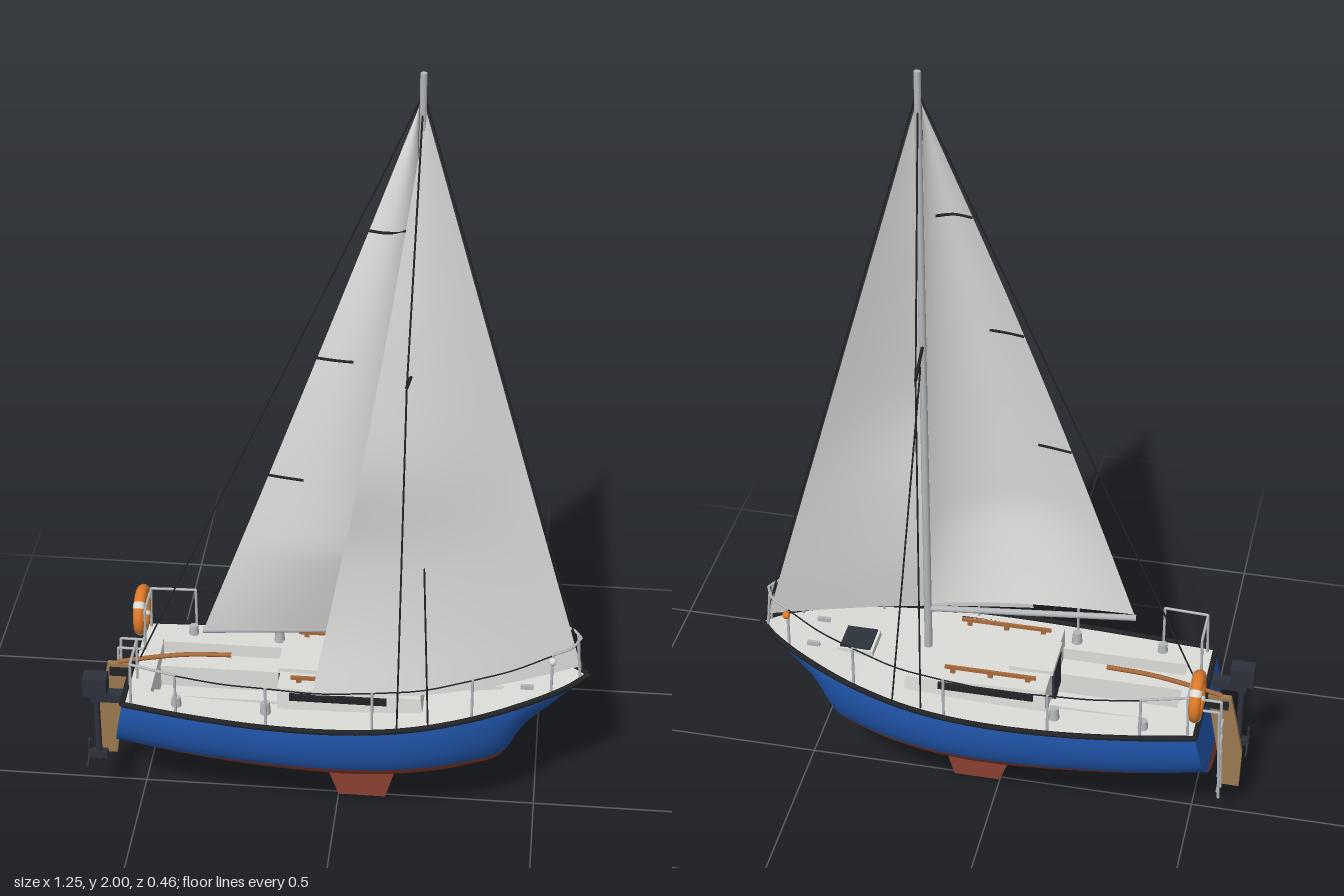
import * as THREE from 'three';

const mat = (name, color, side = THREE.FrontSide) => {
  const m = new THREE.MeshStandardMaterial({ color, side });
  m.name = name;
  return m;
};

// Hull lines: x -> half beam, sheer height, keel height, section fullness
const LINES = [
  [-0.52, 0.178, 0.372, 0.19, 2.5], [-0.35, 0.2, 0.362, 0.163, 2.5], [-0.15, 0.217, 0.356, 0.148, 2.5],
  [0.05, 0.219, 0.358, 0.14, 2.5], [0.2, 0.203, 0.366, 0.143, 2.4], [0.34, 0.167, 0.38, 0.155, 2.1],
  [0.42, 0.136, 0.39, 0.18, 1.8], [0.46, 0.117, 0.395, 0.255, 1.6], [0.53, 0.078, 0.403, 0.325, 1.4],
  [0.59, 0.034, 0.411, 0.385, 1.3], [0.62, 0.002, 0.415, 0.411, 1.2],
];
const spline = (xs, rows) => new THREE.CubicInterpolant(xs, rows.flat(), rows[0].length);
const hullSpline = spline(LINES.map((r) => r[0]), LINES.map((r) => r.slice(1)));
const lines = (x) => {
  const [w, sheer, keel, p] = hullSpline.evaluate(x);
  return { w: Math.max(w, 0.001), sheer, keel, p };
};
const WATERLINE = 0.222, ROWS = 8;
const lerp = THREE.MathUtils.lerp;

// Point of the hull skin; j runs from -2*ROWS (right sheer) through the keel to 2*ROWS (left sheer)
function skin(x, j) {
  const { w, sheer, keel, p } = lines(x);
  const k = Math.abs(j), wl = Math.min(Math.max(WATERLINE, keel), sheer);
  const y = k <= ROWS ? lerp(keel, wl, (k / ROWS) ** 2) : lerp(wl, sheer, k / ROWS - 1);
  const t = (y - keel) / (sheer - keel);
  const z = w * Math.pow(Math.max(0, 1 - Math.pow(1 - t, p)), 1 / p);
  const rake = 0.035 * (1 - t) * Math.max(0, (-0.3 - x) / 0.22);
  return [x - rake, y, Math.sign(j) * z];
}

// Grid surface from f(u, v); pick(i, j) chooses a material index per cell
function surface(f, nu, nv, pick = () => 0) {
  const pos = [], sets = [[], []];
  for (let j = 0; j <= nv; j++) for (let i = 0; i <= nu; i++) pos.push(...f(i / nu, j / nv));
  for (let j = 0; j < nv; j++) for (let i = 0; i < nu; i++) {
    const a = j * (nu + 1) + i, b = a + 1, d = a + nu + 1, c = d + 1;
    sets[pick(i, j)].push(a, b, c, a, c, d);
  }
  const g = new THREE.BufferGeometry();
  g.setAttribute('position', new THREE.Float32BufferAttribute(pos, 3));
  g.setIndex([...sets[0], ...sets[1]]);
  g.addGroup(0, sets[0].length, 0);
  g.addGroup(sets[0].length, sets[1].length, 1);
  g.computeVertexNormals();
  return g;
}

export function createModel() {
  const boat = new THREE.Group();
  boat.name = 'sailboat';
  const D = THREE.DoubleSide;
  const blue = mat('hull blue', 0x2258b0), red = mat('bottom red', 0x8a4032), white = mat('deck white', 0xdcdcd8, D);
  const cloth = mat('sailcloth', 0xdadad8, D), metal = mat('metal', 0xb4b8ba), black = mat('black trim', 0x222326);
  const teak = mat('teak', 0xa8693a), ply = mat('rudder wood', 0x9c7a50), orange = mat('orange', 0xe07a28);
  const charcoal = mat('charcoal', 0x2d313a);

  const add = (name, geo, m, x = 0, y = 0, z = 0, parent = boat) => {
    const mesh = new THREE.Mesh(geo, m);
    mesh.name = name;
    mesh.position.set(x, y, z);
    parent.add(mesh);
    return mesh;
  };
  const box = (name, m, x0, x1, y0, y1, z0, z1) =>
    add(name, new THREE.BoxGeometry(x1 - x0, y1 - y0, z1 - z0), m, (x0 + x1) / 2, (y0 + y1) / 2, (z0 + z1) / 2);
  const vec = (p) => new THREE.Vector3(...p);
  const rod = (name, m, a, b, r, r2 = r) => {
    const A = vec(a), dir = vec(b).sub(A);
    const mesh = add(name, new THREE.CylinderGeometry(r2, r, dir.length(), 10), m);
    mesh.position.copy(A).addScaledVector(dir, 0.5);
    mesh.quaternion.setFromUnitVectors(new THREE.Vector3(0, 1, 0), dir.normalize());
    return mesh;
  };
  const tube = (name, m, pts, r, seg = 48) =>
    add(name, new THREE.TubeGeometry(new THREE.CatmullRomCurve3(pts.map(vec)), seg, r, 8), m);
  const plate = (name, m, pts, t) =>
    add(name, new THREE.ExtrudeGeometry(new THREE.Shape(pts.map((p) => new THREE.Vector2(...p))),
      { depth: t, bevelEnabled: false }), m, 0, 0, -t / 2);

  // Hull, transom and fin keel
  const N = 2 * ROWS;
  add('hull', surface((u, v) => skin(lerp(-0.52, 0.62, u), Math.round(v * 2 * N) - N), 60, 2 * N,
    (i, j) => (j >= N - ROWS && j < N + ROWS ? 1 : 0)), [blue, red]);
  add('transom', surface((u, v) => {
    const [x, y, z] = skin(-0.52, v * N);
    return [x, y, lerp(-z, z, u)];
  }, 8, N, (i, j) => (j < ROWS ? 1 : 0)), [blue, red]);
  plate('keel', red, [[-0.055, 0.155], [0, 0], [0.12, 0], [0.165, 0.155]], 0.02);

  // Deck in strips around the cockpit opening
  const deck = (x0, x1, z0, z1) => add('deck', surface((u, v) => {
    const x = lerp(x0, x1, v), { w, sheer } = lines(x), c = THREE.MathUtils.clamp;
    return [x, sheer, lerp(c(z0, -w, w), c(z1, -w, w), u)];
  }, 2, 30), white);
  deck(-0.52, -0.46, -1, 1);
  deck(-0.14, 0.62, -1, 1);
  deck(-0.46, -0.14, -1, -0.11);
  deck(-0.46, -0.14, 0.11, 1);

  // Cockpit
  box('cockpitSole', white, -0.46, -0.14, 0.25, 0.27, -0.05, 0.05);
  box('cockpitAftWall', white, -0.466, -0.46, 0.25, 0.365, -0.11, 0.11);
  for (const s of [-1, 1]) {
    const z = (a, b) => (s > 0 ? [a, b] : [-b, -a]);
    box('bench', white, -0.46, -0.14, 0.25, 0.33, ...z(0.05, 0.11));
    box('cockpitSide', white, -0.46, -0.14, 0.3, 0.364, ...z(0.11, 0.116));
  }

  // Cabin with sloping sides and front
  const cabin = new THREE.BoxGeometry(0.375, 0.15, 0.28), cp = cabin.attributes.position;
  for (let i = 0; i < cp.count; i++) if (cp.getY(i) > 0) {
    cp.setZ(i, cp.getZ(i) * 0.92);
    if (cp.getX(i) > 0) cp.setXYZ(i, 0.165, 0.065, cp.getZ(i));
  }
  cabin.computeVertexNormals();
  add('cabin', cabin, white, 0.0475, 0.34, 0);
  box('slidingHatch', white, -0.146, -0.035, 0.41, 0.424, -0.06, 0.06);
  box('companionway', charcoal, -0.147, -0.139, 0.31, 0.408, -0.042, 0.042);
  box('foreHatchFrame', white, 0.32, 0.412, 0.37, 0.397, -0.045, 0.045);
  box('foreHatch', charcoal, 0.327, 0.405, 0.394, 0.402, -0.04, 0.04);

  // Toe rail, windows, handrails, winches, cleats and lifelines on both sides
  for (const s of [-1, 1]) {
    const edge = (x, inset = 0, up = 0) => {
      const { w, sheer } = lines(x);
      return [x, sheer + up, s * Math.max(0, w - inset)];
    };
    tube('toeRail', black, Array.from({ length: 30 }, (_, i) => edge(lerp(-0.52, 0.62, i / 29), 0, 0.002)), 0.007, 80);
    box('cabinWindow', black, -0.11, 0.13, 0.385, 0.403, s * 0.134 - 0.004, s * 0.134 + 0.004);
    box('handrail', teak, -0.11, 0.12, 0.422, 0.43, s * 0.097 - 0.004, s * 0.097 + 0.004);
    for (const x of [-0.09, 0.005, 0.1]) box('handrailFoot', teak, x - 0.006, x + 0.006, 0.41, 0.424, s * 0.097 - 0.004, s * 0.097 + 0.004);
    for (const x of [-0.388, -0.167]) rod('winch', metal, [x, 0.355, s * 0.153], [x, 0.388, s * 0.153], 0.014, 0.011);
    box('cleat', metal, 0.455, 0.487, 0.398, 0.41, s * 0.05 - 0.004, s * 0.05 + 0.004);

    const posts = [-0.385, -0.16, 0.1, 0.34, 0.53];
    for (const x of posts) rod('stanchion', metal, edge(x, 0.012), edge(x, 0.012, 0.113), 0.0035);
    for (let i = 0; i < 4; i++) {
      const mid = (posts[i] + posts[i + 1]) / 2;
      tube('lifeline', black, [edge(posts[i], 0.012, 0.111), edge(mid, 0.012, 0.108), edge(posts[i + 1], 0.012, 0.111)], 0.0018, 8);
    }
    // Stern rail and bow rail
    const corner = [-0.497, 0.487, s * 0.165], inner = [-0.497, 0.487, s * 0.062];
    rod('sternRail', metal, edge(-0.385, 0.012, 0.113), corner, 0.0035);
    rod('sternRail', metal, corner, inner, 0.0035);
    rod('sternRailPost', metal, corner, [-0.5, 0.37, s * 0.165], 0.0035);
    rod('sternRailPost', metal, inner, [-0.5, 0.37, s * 0.062], 0.0035);
    tube('bowRail', metal, [edge(0.53, 0.012, 0.113), [0.575, 0.522, s * 0.04], [0.598, 0.525, 0]], 0.0035, 12);
    rod('bowRailPost', metal, [0.59, 0.523, s * 0.015], [0.6, 0.412, s * 0.015], 0.0035);
    add('bowLight', new THREE.SphereGeometry(0.01, 12, 8), s < 0 ? orange : white, 0.53, 0.505, s * 0.078);

    // Spreader and shrouds
    const tip = [0.168, 1.29, s * 0.14];
    rod('spreader', black, [0.185, 1.295, 0], tip, 0.004);
    rod('upperShroud', black, [0.185, 1.93, 0], tip, 0.0022);
    rod('upperShroud', black, tip, [0.16, 0.365, s * 0.195], 0.0022);
    rod('lowerShroud', black, [0.188, 1.27, 0], [0.235, 0.37, s * 0.183], 0.0022);
  }
  rod('sternRub', black, [-0.52, 0.374, -0.178], [-0.52, 0.374, 0.178], 0.007);

  // Mast, boom and stays
  rod('mast', metal, [0.185, 0.36, 0], [0.185, 2, 0], 0.01, 0.008);
  rod('boom', metal, [0.18, 0.525, 0], [-0.33, 0.53, 0.062], 0.008);
  rod('backstay', black, [0.18, 1.94, 0], [-0.51, 0.37, 0], 0.002);
  rod('forestay', black, [0.19, 1.94, 0], [0.612, 0.418, 0], 0.002);

  // Mainsail with battens
  const main = (u, v) => {
    const belly = 0.075 * Math.sin(Math.PI * Math.pow(u, 0.8)) * Math.pow(1 - v, 0.7) * Math.min(1, 0.25 + v * 4);
    const twist = 0.035 * u * Math.sin(Math.PI * v);
    return [lerp(lerp(0.175, -0.325, u), 0.176, v), lerp(0.54, 1.92, v), lerp(0.062 * u, 0, v) + belly + twist];
  };
  add('mainsail', surface(main, 20, 36), cloth);
  for (const v of [0.33, 0.56, 0.79]) {
    const du = 0.085 / (0.5 * (1 - v));
    tube('batten', black, [main(1, v), main(1 - du / 2, v), main(1 - du, v)], 0.0035, 8);
  }

  // Headsail: the free edge sags between clew and head
  const leech = spline([0, 0.1, 0.25, 0.42, 0.6, 0.8, 1], [[0.172], [0.143], [0.13], [0.15], [0.11], [0.052], [0]]);
  add('headsail', surface((u, v) => {
    const edge = leech.evaluate(v)[0];
    const x = lerp(lerp(0.6, -0.05, u), 0.192, v) + 0.012 * u * Math.sin(Math.PI * v);
    const y = lerp(lerp(0.44, 0.432, u) - 0.012 * Math.sin(Math.PI * u), 1.91, v);
    return [x, y, edge * u + 0.035 * Math.sin(Math.PI * u) * (1 - v)];
  }, 24, 40), cloth);

  // Rudder and tiller
  plate('rudder', ply, [[-0.527, 0.37], [-0.585, 0.37], [-0.6, 0.3], [-0.62, 0.2], [-0.617, 0.09], [-0.572, 0.09], [-0.557, 0.2]], 0.014);
  box('rudderHead', black, -0.58, -0.525, 0.335, 0.36, -0.011, 0.011);
  tube('tiller', teak, [[-0.56, 0.372, 0], [-0.48, 0.39, 0], [-0.38, 0.407, 0], [-0.27, 0.413, 0]], 0.006, 20);

  // Outboard motor
  const head = new THREE.BoxGeometry(0.06, 0.052, 0.042);
  add('motorCowl', head, charcoal, -0.6, 0.37, 0.095);
  box('motorNeck', charcoal, -0.612, -0.588, 0.32, 0.345, 0.083, 0.107);
  rod('motorLeg', charcoal, [-0.6, 0.33, 0.095], [-0.6, 0.14, 0.095], 0.008);
  box('motorBracket', charcoal, -0.59, -0.525, 0.325, 0.348, 0.08, 0.11);
  box('motorGearcase', charcoal, -0.622, -0.578, 0.145, 0.163, 0.085, 0.105);
  for (let i = 0; i < 3; i++) {
    const blade = add('propellerBlade', new THREE.BoxGeometry(0.005, 0.05, 0.014).translate(0, 0.018, 0), charcoal, -0.624, 0.154, 0.095);
    blade.rotation.x = (i * Math.PI * 2) / 3;
  }

  // Boarding ladder
  for (const z of [-0.042, -0.083]) {
    rod('ladderRail', metal, [-0.565, 0.385, z], [-0.575, 0.11, z], 0.0035);
    rod('ladderHook', metal, [-0.565, 0.385, z], [-0.5, 0.385, z], 0.0035);
  }
  for (const y of [0.13, 0.18, 0.23, 0.28, 0.33]) rod('ladderRung', metal, [-0.571, y, -0.083], [-0.571, y, -0.042], 0.0035);

  // Life ring with four pale bands
  const ring = new THREE.Group();
  ring.name = 'lifeRing';
  ring.position.set(-0.513, 0.455, -0.115);
  ring.rotation.y = Math.PI / 2;
  boat.add(ring);
  add('ringBody', new THREE.TorusGeometry(0.05, 0.015, 14, 40), orange, 0, 0, 0, ring);
  for (let i = 0; i < 4; i++) {
    const band = add('ringBand', new THREE.TorusGeometry(0.05, 0.0158, 14, 5, 0.28), white, 0, 0, 0, ring);
    band.rotation.z = Math.PI / 4 + (i * Math.PI) / 2 - 0.14;
  }
  return boat;
}
